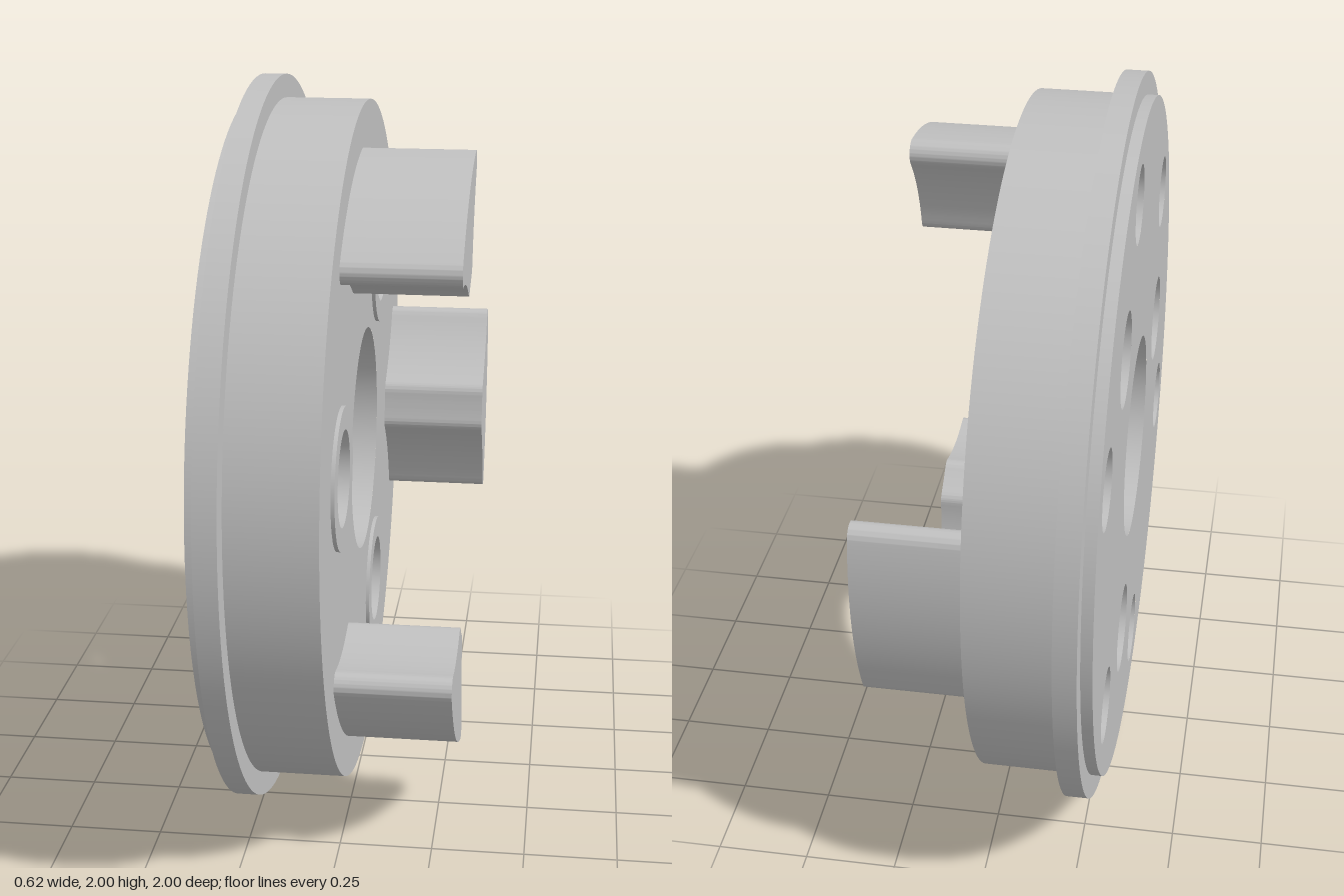
import * as THREE from 'three';
import { mergeGeometries, toCreasedNormals } from 'three/addons/utils/BufferGeometryUtils.js';

const rad = THREE.MathUtils.degToRad;
const FRONT = 0.01, BACK = -0.31;          // disc faces along its axis
const RIM = 0.937, BORE = 0.31, LIP = 0.28;
const BOLT = 0.125, BOLT_CIRCLE = 0.555;   // through holes
const PIN = 0.103, PIN_CIRCLE = 0.763;     // blind holes in the back
const boltAngles = [52, 172, 292];
const pinAngles = [22, 82, 142, 202, 262, 322];
const dogAngles = [112, 232, 352];

const polar = (r, deg) => new THREE.Vector2(r * Math.cos(rad(deg)), r * Math.sin(rad(deg)));

// Turned surface about z with a sharp edge at each [radius, z] point
function turned(points, segments) {
  const bands = [];
  for (let i = 0; i + 1 < points.length; i++) {
    const pair = [points[i], points[i + 1]].map(p => new THREE.Vector2(...p));
    bands.push(new THREE.LatheGeometry(pair, segments));
  }
  return mergeGeometries(bands).rotateX(Math.PI / 2);
}

// Flat disc with round holes given as [radius, centre]
function drilledFace(holes) {
  const shape = new THREE.Shape().absarc(0, 0, RIM, 0, Math.PI * 2, false);
  for (const [r, c] of holes) {
    shape.holes.push(new THREE.Path().absarc(c.x, c.y, r, 0, Math.PI * 2, true));
  }
  return new THREE.ShapeGeometry(shape, 64);
}

// Coupling dog: outer arc, two hollow flanks around the bolt holes, rounded corners
function dogShape() {
  const outer = 0.828, inner = 0.545, hollow = 0.495, fillet = 0.035;
  const boltAt = polar(BOLT_CIRCLE, 60);
  // angle of a fillet centre at distance d from the axis
  const filletAngle = d => 60 - THREE.MathUtils.radToDeg(Math.acos(
    (d * d + BOLT_CIRCLE ** 2 - (hollow + fillet) ** 2) / (2 * d * BOLT_CIRCLE)));
  const tipAngle = filletAngle(outer - fillet), rootAngle = filletAngle(inner + fillet);
  const tip = polar(outer - fillet, tipAngle), root = polar(inner + fillet, rootAngle);
  const heading = (a, b) => Math.atan2(b.y - a.y, b.x - a.x);
  const t = rad(tipAngle), q = rad(rootAngle);

  const s = new THREE.Shape();
  s.absarc(0, 0, outer, -t, t, false);
  s.absarc(tip.x, tip.y, fillet, t, heading(tip, boltAt), false);
  s.absarc(boltAt.x, boltAt.y, hollow, heading(boltAt, tip), heading(boltAt, root), true);
  s.absarc(root.x, root.y, fillet, heading(root, boltAt), q + Math.PI, false);
  s.absarc(0, 0, inner, q, -q, true);
  s.absarc(root.x, -root.y, fillet, Math.PI - q, -heading(root, boltAt), false);
  s.absarc(boltAt.x, -boltAt.y, hollow, -heading(boltAt, root), -heading(boltAt, tip), true);
  s.absarc(tip.x, -tip.y, fillet, -heading(tip, boltAt), -t, false);
  return s;
}

export function createModel() {
  const metal = new THREE.MeshStandardMaterial({ color: 0xc0c0c0 });
  metal.name = 'grey metal';

  const group = new THREE.Group();
  group.name = 'couplingHub';
  const add = (name, geometry, at = new THREE.Vector2()) => {
    const mesh = new THREE.Mesh(geometry, metal);
    mesh.name = name;
    mesh.position.set(at.x, at.y, 0);
    group.add(mesh);
    return mesh;
  };
  const centre = new THREE.Vector2();

  // Rim with flange, and stepped centre bore
  add('flangedRim', turned([[RIM, BACK], [RIM, -0.28], [1, -0.28], [1, -0.22], [RIM, -0.22], [RIM, FRONT]], 128));
  add('centreBore', turned([[BORE, FRONT], [BORE, -0.24], [LIP, -0.24], [LIP, BACK]], 64));

  // Front and back faces
  const front = drilledFace([[BORE, centre], ...boltAngles.map(a => [BOLT, polar(BOLT_CIRCLE, a)])]);
  add('frontFace', front.translate(0, 0, FRONT));
  const back = drilledFace([
    [LIP, centre],
    ...boltAngles.map(a => [BOLT, polar(BOLT_CIRCLE, 180 - a)]),
    ...pinAngles.map(a => [PIN, polar(PIN_CIRCLE, 180 - a)]),
  ]);
  add('backFace', back.rotateY(Math.PI).translate(0, 0, BACK));

  // Through holes with a raised seat on the front
  const boltGeometry = turned([[0.185, FRONT], [0.185, 0.02], [BOLT, 0.02], [BOLT, BACK]], 48);
  for (const a of boltAngles) add('boltHole', boltGeometry, polar(BOLT_CIRCLE, a));

  // Blind holes in the back
  const pinGeometry = turned([[0, -0.06], [PIN, -0.06], [PIN, BACK]], 40);
  for (const a of pinAngles) add('pinHole', pinGeometry, polar(PIN_CIRCLE, a));

  // Three driving dogs
  const dogGeometry = toCreasedNormals(new THREE.ExtrudeGeometry(dogShape(), {
    depth: 0.31, bevelEnabled: false, curveSegments: 16,
  }), 0.5);
  for (const a of dogAngles) add('drivingDog', dogGeometry).rotation.z = rad(a);

  // Axis along x, resting on the ground
  group.rotation.y = Math.PI / 2;
  group.position.y = 1;
  const model = new THREE.Group();
  model.name = 'model';
  model.add(group);
  return model;
}
